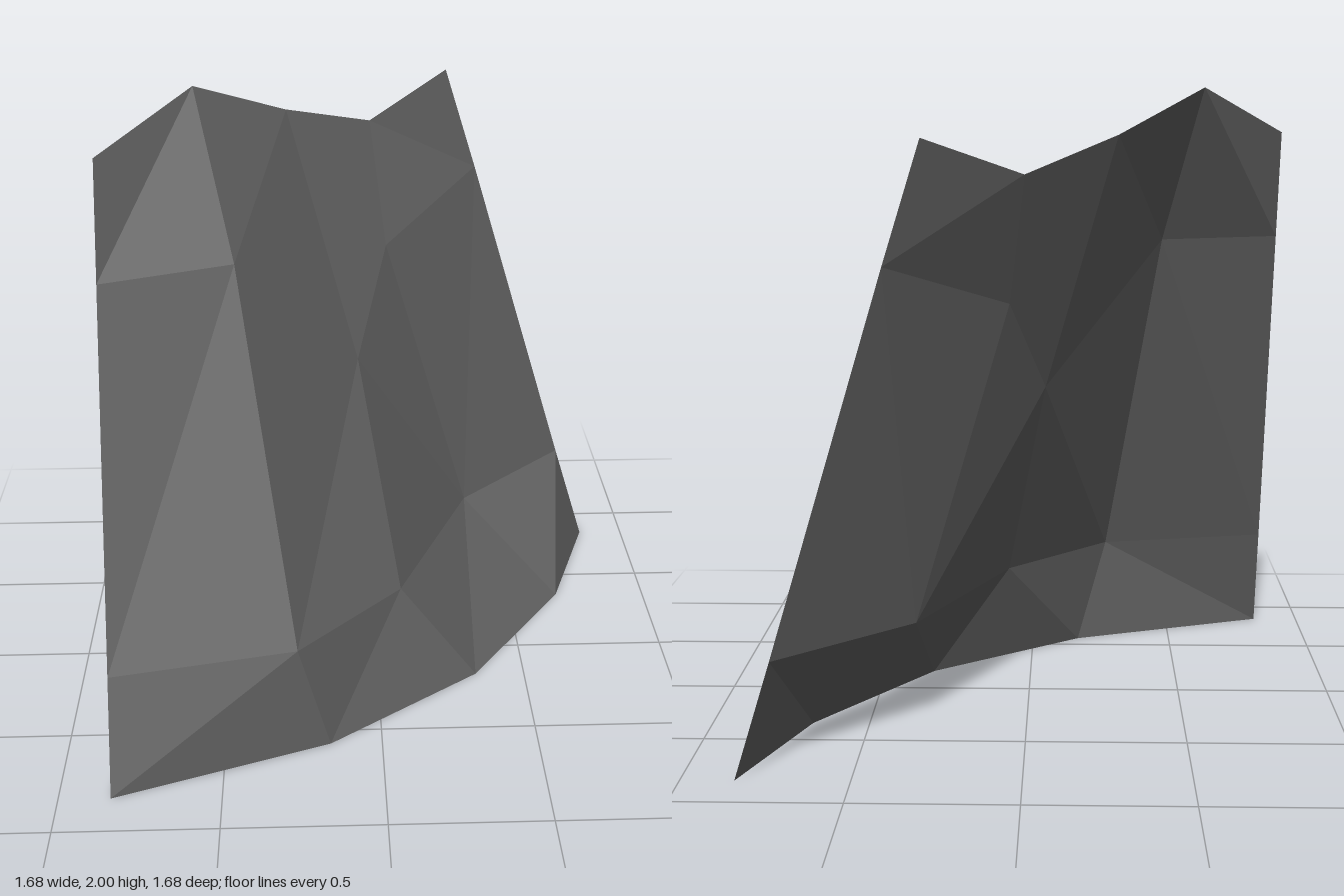
import * as THREE from 'three';

// Cross-sections of the sheet from bottom to top, each running left to right as seen from its outer side
const rows = [
  [[-0.84, 0, 0.84], [-0.165, 0, 0.575], [0.335, 0, 0.18], [0.68, 0, -0.35], [0.84, 0, -0.84]],
  [[-0.84, 0.36, 0.73], [-0.265, 0.36, 0.6], [0.075, 0.36, 0.22], [0.34, 0.36, -0.44], [0.73, 0.36, -0.84]],
  [[-0.84, 1.5, 0.39], [-0.44, 1.5, 0.22], [-0.055, 1.05, -0.11], [0.05, 1.35, -0.4], [0.39, 1.5, -0.84]],
  [[-0.84, 1.855, 0.285], [-0.56, 2, 0], [-0.28, 1.855, -0.28], [0, 1.745, -0.56], [0.28, 1.855, -0.84]],
];

// Fold direction of each quad: '/' rises to the right, '\\' falls to the right
const folds = ['////', '//\\/', '///\\'];

export function createModel() {
  const group = new THREE.Group();
  group.name = 'rockFace';

  const stone = new THREE.MeshStandardMaterial({ color: 0x626262 });
  stone.name = 'darkGreyStone';
  stone.side = THREE.DoubleSide;
  stone.flatShading = true;

  // Two triangles per quad, unshared so every facet stays flat
  const positions = [];
  for (let r = 0; r < 3; r++) {
    for (let c = 0; c < 4; c++) {
      const a = rows[r][c], b = rows[r][c + 1];
      const d = rows[r + 1][c + 1], e = rows[r + 1][c];
      const corners = folds[r][c] === '/' ? [a, b, d, a, d, e] : [a, b, e, b, d, e];
      for (const p of corners) positions.push(...p);
    }
  }
  const geometry = new THREE.BufferGeometry();
  geometry.setAttribute('position', new THREE.Float32BufferAttribute(positions, 3));
  geometry.computeVertexNormals();

  const cliff = new THREE.Mesh(geometry, stone);
  cliff.name = 'cliffCornerWall';
  group.add(cliff);
  return group;
}
